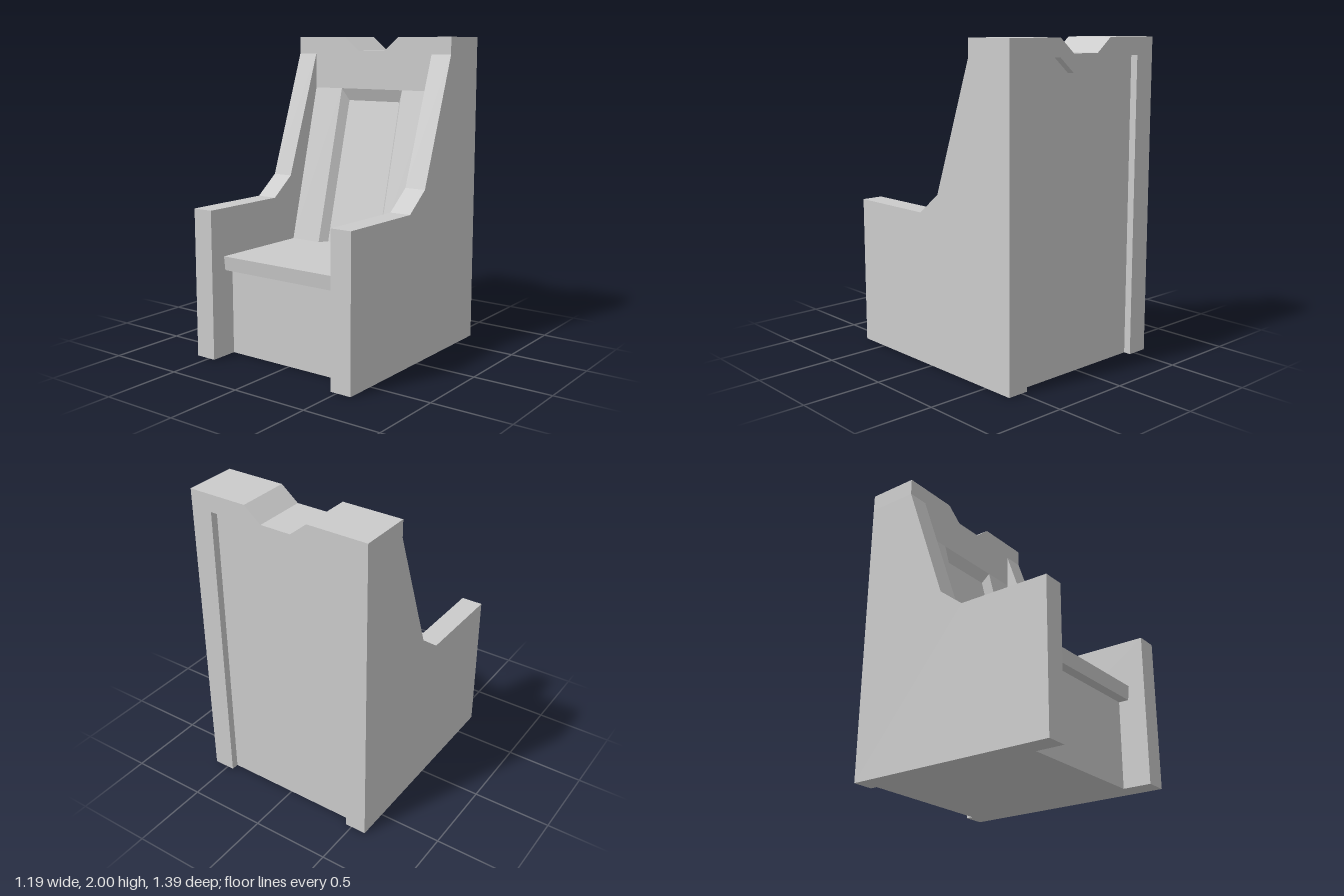
import * as THREE from 'three';

const material = new THREE.MeshStandardMaterial({ color: 0xcccccc, flatShading: true });

const OUTER = 0.597, INNER = 0.457;   // side walls, half widths
const BACK = -0.697, FRONT = 0.697;   // overall depth
const PANEL_BACK = -0.65;             // recessed rear panel
const TOP_Z = -0.36;                  // front plane of the upper back

function extrude(points, depth) {
  const shape = new THREE.Shape(points.map(([x, y]) => new THREE.Vector2(x, y)));
  return new THREE.ExtrudeGeometry(shape, { depth, bevelEnabled: false });
}

// Front outline (x, y) spanning z0..z1
const alongZ = (points, z0, z1) => extrude(points, z1 - z0).translate(0, 0, z0);

// Side outline (z, y) spanning x0..x1
const alongX = (points, x0, x1) =>
  extrude(points, x1 - x0).rotateY(-Math.PI / 2).translate(x1, 0, 0);

// Four-cornered faces, counter-clockwise seen from the front
function quads(list) {
  const pos = list.flatMap(([a, b, c, d]) => [a, b, c, a, c, d]).flat();
  const g = new THREE.BufferGeometry();
  g.setAttribute('position', new THREE.Float32BufferAttribute(pos, 3));
  g.computeVertexNormals();
  return g;
}

export function createModel() {
  const group = new THREE.Group();
  const add = (name, geometry) => {
    const mesh = new THREE.Mesh(geometry, material);
    mesh.name = name;
    group.add(mesh);
  };

  // Side walls with armrests and sweeping wings
  const sideOutline = [
    [BACK, 0], [FRONT, 0], [FRONT, 0.95], [0.093, 0.95],
    [-0.073, 1.08], [TOP_Z, 1.89], [BACK, 1.89],
  ];
  // Reclining stiles on either side of the sunken back panel
  const stileOutline = [
    [PANEL_BACK, 0.555], [-0.097, 0.555], [-0.097, 0.645], [TOP_Z, 1.66], [PANEL_BACK, 1.66],
  ];
  for (const [side, s] of [['left', 1], ['right', -1]]) {
    const span = (a, b) => (s > 0 ? [a, b] : [-b, -a]);
    add(side + 'SideWall', alongX(sideOutline, ...span(INNER, OUTER)));
    add(side + 'BackStile', alongX(stileOutline, ...span(0.24, INNER)));
    // Mitred top of the wall, meeting the crest rail
    add(side + 'WallMitre', alongZ(
      [[s * INNER, 1.89], [s * OUTER, 1.89], [s * OUTER, 2], [s * 0.59, 2]], BACK, TOP_Z));
  }

  // Crest rail with a notched middle and mitred ends
  const crestBottom = [[-INNER, 1.89], [-0.21, 1.89], [-0.1, 1.8], [0.1, 1.8], [0.21, 1.89], [INNER, 1.89]];
  const crestTop = [[0.59, 2], [0.21, 2], [0.1, 1.91], [-0.1, 1.91], [-0.21, 2], [-0.59, 2]];
  add('crestRail', alongZ([...crestBottom, ...crestTop], BACK, TOP_Z));

  // Upright part of the back beneath the crest
  add('backHeader', alongZ(
    [[-INNER, 1.66], [INNER, 1.66], ...[...crestBottom].reverse()], PANEL_BACK, TOP_Z));

  // Sunken centre panel with bevelled edges
  const slope = (TOP_Z + 0.097) / (1.66 - 0.645);
  const rim = (x, y) => [x, y, -0.097 + (y - 0.645) * slope];
  const sunk = (x, y) => [x, y, -0.15 + (y - 0.645) * slope];
  add('sunkenBackPanel', quads([
    [sunk(-0.2, 0.645), sunk(0.2, 0.645), sunk(0.2, 1.58), sunk(-0.2, 1.58)],
    [rim(-0.24, 0.645), sunk(-0.2, 0.645), sunk(-0.2, 1.58), rim(-0.24, 1.66)],
    [sunk(0.2, 0.645), rim(0.24, 0.645), rim(0.24, 1.66), sunk(0.2, 1.58)],
    [sunk(-0.2, 1.58), sunk(0.2, 1.58), rim(0.24, 1.66), rim(-0.24, 1.66)],
  ]));

  // Flat rear panel closing the back
  add('rearPanel', new THREE.BoxGeometry(2 * INNER, 1.66, 0.2)
    .translate(0, 0.83, PANEL_BACK + 0.1));

  // Seat slab overhanging the base
  add('seat', alongX([[-0.4, 0.555], [0.58, 0.555], [0.59, 0.645], [-0.4, 0.645]], -INNER, INNER));

  // Solid base under the seat
  add('base', alongX([[PANEL_BACK, 0], [0.515, 0], [0.515, 0.555], [PANEL_BACK, 0.555]], -INNER, INNER));

  return group;
}
